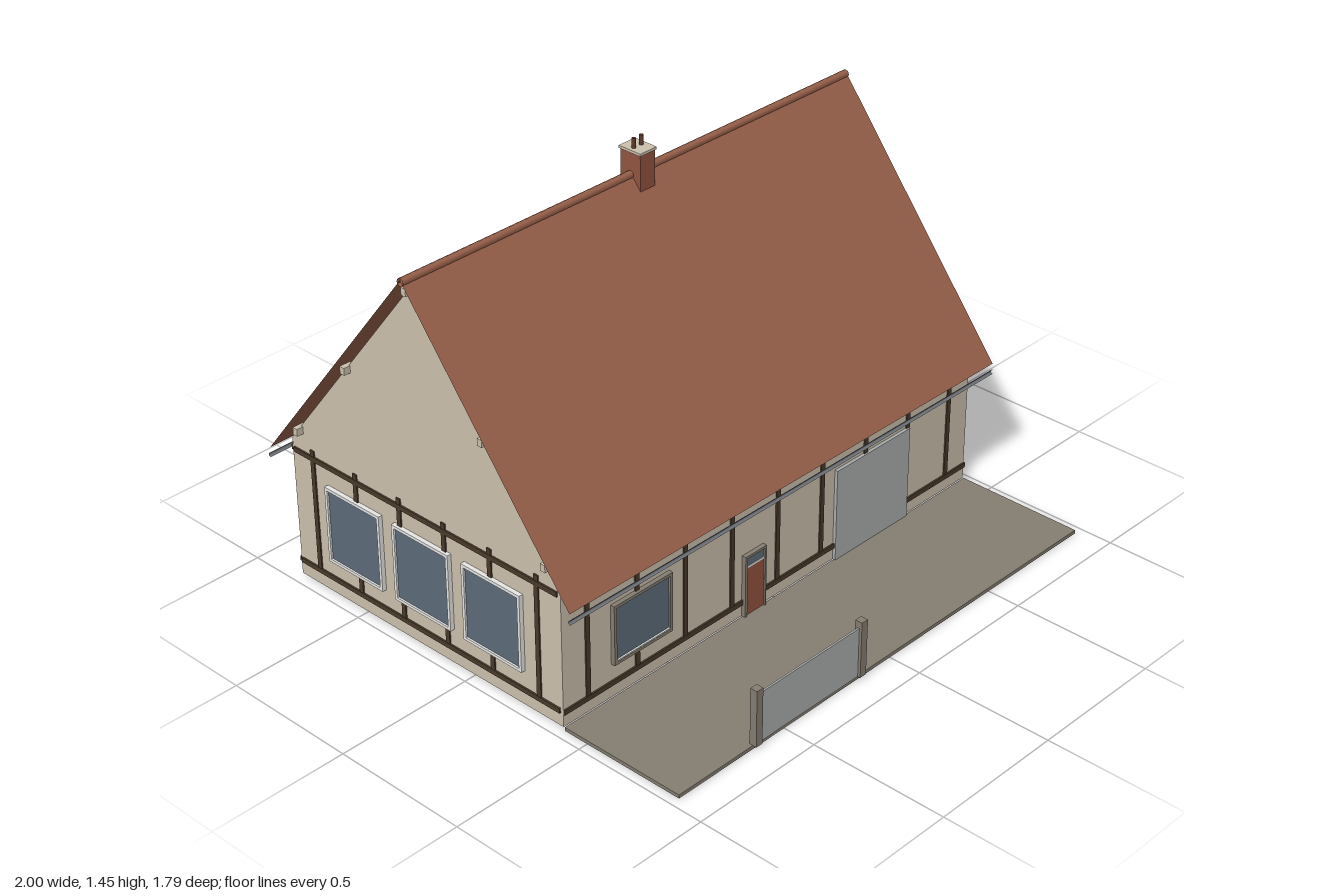
import * as THREE from 'three';

const mat = (name, color, side = THREE.FrontSide) => {
  const m = new THREE.MeshStandardMaterial({ color, side });
  m.name = name;
  return m;
};

export function createModel() {
  const M = {
    wall: mat('cream plaster', 0xcbc1ad, THREE.DoubleSide),
    roof: mat('roof tile', 0x98604a, THREE.DoubleSide),
    timber: mat('dark timber', 0x4a3a2a),
    glass: mat('window glass', 0x5c6c7a),
    frame: mat('white frame', 0xf2f2f0),
    stone: mat('paving stone', 0x857d71),
    panel: mat('grey panel', 0xabadad),
    door: mat('red wood', 0x925440),
    metal: mat('gutter zinc', 0x70757a, THREE.DoubleSide),
    pot: mat('chimney pot', 0x5a3a2e),
  };
  const model = new THREE.Group();
  model.name = 'house';

  const add = (parent, name, geo, material, x = 0, y = 0, z = 0) => {
    const mesh = new THREE.Mesh(geo, material);
    mesh.name = name;
    mesh.position.set(x, y, z);
    parent.add(mesh);
    return mesh;
  };
  const box = (parent, name, material, x0, x1, y0, y1, z0, z1) =>
    add(parent, name, new THREE.BoxGeometry(x1 - x0, y1 - y0, z1 - z0), material,
      (x0 + x1) / 2, (y0 + y1) / 2, (z0 + z1) / 2);

  const HX = 0.965, HZ = 0.605, MID = -0.205; // half length, half depth, ridge line
  const BASE = 0.012, EAVES = 0.533, PEAK = 1.3;

  // Wall: local x runs along it, local z points outwards
  const facade = (name, x, z, turn, half, gable) => {
    const g = new THREE.Group();
    g.name = name;
    g.position.set(x, 0, z);
    g.rotation.y = turn;
    const pts = [[-half, BASE], [half, BASE], [half, EAVES], [-half, EAVES]];
    if (gable) pts.splice(3, 0, [0, PEAK]);
    const shape = new THREE.Shape(pts.map(p => new THREE.Vector2(...p)));
    add(g, 'wall', new THREE.ShapeGeometry(shape), M.wall);
    model.add(g);
    return g;
  };
  const post = (g, x, y0 = 0.067, y1 = 0.525) =>
    box(g, 'timberPost', M.timber, x - 0.009, x + 0.009, y0, y1, 0.001, 0.006);
  const beam = (g, x0, x1, y) =>
    box(g, 'timberBeam', M.timber, x0, x1, y - 0.009, y + 0.009, 0.001, 0.007);

  // Frame ring running through the wall, with a pane inside it
  const windowUnit = (g, x0, x1, y0, y1, frameMat = M.frame, t = 0.011) => {
    const ring = new THREE.Shape([[x0, y0], [x1, y0], [x1, y1], [x0, y1]]
      .map(p => new THREE.Vector2(...p)));
    ring.holes.push(new THREE.Path([[x0 + t, y0 + t], [x0 + t, y1 - t], [x1 - t, y1 - t], [x1 - t, y0 + t]]
      .map(p => new THREE.Vector2(...p))));
    add(g, 'windowFrame', new THREE.ExtrudeGeometry(ring, { depth: 0.026, bevelEnabled: false }),
      frameMat, 0, 0, -0.01);
    box(g, 'windowPane', M.glass, x0 + t, x1 - t, y0 + t, y1 - t, -0.006, 0.009);
  };

  const longPosts = [-4, -3, -2, -1, 0, 1, 2, 3, 4].map(i => i * 0.215);

  // Front wall with window, door and garage
  const front = facade('frontWall', 0, MID + HZ, 0, HX, false);
  for (const x of longPosts) post(front, x, x > 0.3 && x < 0.7 ? 0.358 : 0.067);
  beam(front, -HX, -0.165, 0.067);
  beam(front, -0.065, 0.28, 0.067);
  beam(front, 0.648, HX, 0.067);
  beam(front, -HX, HX, 0.495);
  windowUnit(front, -0.757, -0.5, 0.136, 0.355, M.stone);
  box(front, 'windowSill', M.frame, -0.746, -0.511, 0.147, 0.151, 0.008, 0.015);
  box(front, 'garageDoor', M.panel, 0.28, 0.648, BASE, 0.358, -0.006, 0.012);
  box(front, 'doorLeaf', M.door, -0.155, -0.071, BASE, 0.194, -0.006, 0.01);
  box(front, 'doorTransom', M.frame, -0.155, -0.071, 0.194, 0.201, -0.006, 0.012);
  box(front, 'doorLight', M.glass, -0.155, -0.071, 0.201, 0.234, -0.006, 0.01);
  box(front, 'doorLintel', M.stone, -0.165, -0.065, 0.234, 0.243, -0.01, 0.016);
  for (const x of [-0.165, -0.071])
    box(front, 'doorJamb', M.stone, x, x + (x < -0.1 ? 0.01 : 0.006), BASE, 0.234, -0.01, 0.016);

  // Back wall with four windows
  const back = facade('backWall', 0, MID - HZ, Math.PI, HX, false);
  for (const x of longPosts) post(back, x);
  for (const y of [0.067, 0.495]) beam(back, -HX, HX, y);
  for (const x of [-0.62, -0.207, 0.207, 0.62]) windowUnit(back, x - 0.128, x + 0.128, 0.141, 0.423);

  // Gable walls with three windows and projecting purlin ends
  for (const s of [-1, 1]) {
    const g = facade(s > 0 ? 'leftGable' : 'rightGable', s * HX, MID, s * Math.PI / 2, HZ, true);
    for (let i = -2.5; i <= 2.5; i++) post(g, i * 0.2025);
    for (const y of [0.07, 0.495]) beam(g, -0.595, 0.595, y);
    for (const x of [-0.315, 0, 0.315]) windowUnit(g, x - 0.128, x + 0.128, 0.141, 0.423);
    for (const [x, y] of [[-0.558, 0.582], [-0.305, 0.907], [0, 1.297], [0.305, 0.907], [0.558, 0.582]])
      box(g, 'purlinEnd', M.wall, x - 0.01, x + 0.01, y - 0.013, y + 0.013, -0.015, 0.025);
  }

  // Roof slopes, thin and open at the ends, with a gutter under each
  const run = 0.678, rise = 0.86, eaveY = 0.48;
  for (const s of [-1, 1]) {
    const slope = new THREE.PlaneGeometry(2, Math.hypot(run, rise));
    slope.rotateX(-Math.atan2(run, rise));
    if (s < 0) slope.rotateY(Math.PI);
    add(model, s > 0 ? 'frontRoof' : 'backRoof', slope, M.roof, 0, eaveY + rise / 2, MID + s * run / 2);
    const gutter = new THREE.CylinderGeometry(0.008, 0.008, 2, 8, 1, true, Math.PI / 2, Math.PI);
    gutter.rotateZ(Math.PI / 2);
    gutter.rotateX(Math.PI);
    // keep the trough open upwards
    gutter.computeBoundingBox();
    if (gutter.boundingBox.max.y > 0.004) gutter.rotateX(Math.PI);
    add(model, 'gutter', gutter, M.metal, 0, 0.449, MID + s * 0.68);
  }
  const cap = new THREE.CylinderGeometry(0.014, 0.014, 2, 8, 1, true);
  cap.rotateZ(Math.PI / 2);
  add(model, 'ridgeCap', cap, M.roof, 0, 1.333, MID);

  // Chimney
  box(model, 'chimney', M.door, -0.033, 0.033, 1.25, 1.411, MID - 0.043, MID + 0.043);
  box(model, 'chimneyCap', M.wall, -0.037, 0.037, 1.411, 1.42, MID - 0.047, MID + 0.047);
  for (const x of [-0.017, 0.017])
    add(model, 'chimneyPot', new THREE.CylinderGeometry(0.007, 0.007, 0.034, 12), M.pot, x, 1.437, MID);

  // Paved yard with a gate between two posts
  box(model, 'paving', M.stone, -HX, HX, 0, 0.013, 0.405, 0.88);
  for (const x of [-0.627, -0.146])
    box(model, 'gatePost', M.stone, x - 0.014, x + 0.014, 0.012, 0.219, 0.866, 0.893);
  box(model, 'gatePanel', M.panel, -0.613, -0.16, 0.013, 0.195, 0.876, 0.883);

  return model;
}
